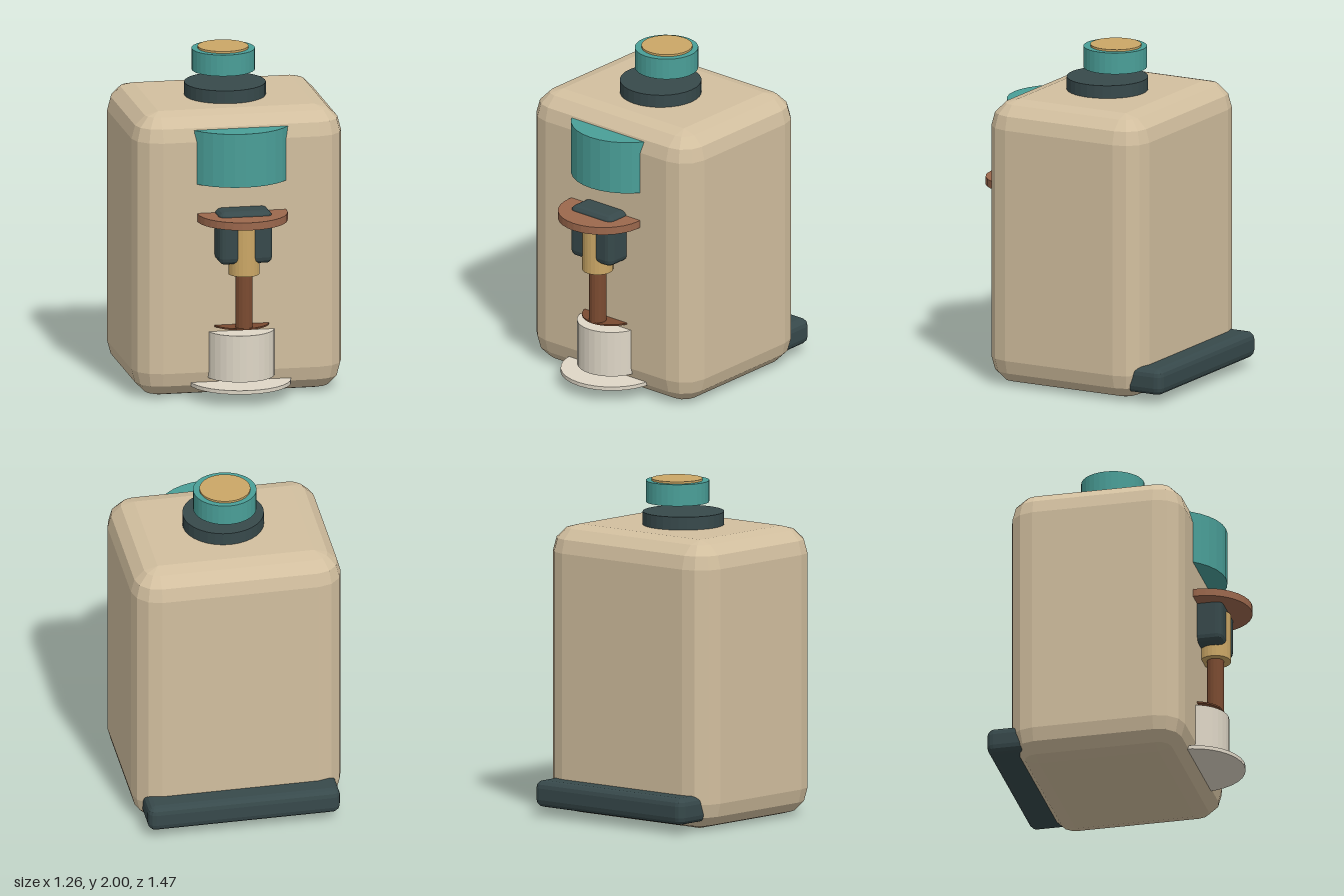
import * as THREE from 'three';
import { ConvexGeometry } from 'three/addons/geometries/ConvexGeometry.js';

const COLORS = {
  body: 0xd2bf9f, dark: 0x37494b, teal: 0x4a9f98, gold: 0xcba766,
  copper: 0x9c684d, brown: 0x7b4b31, cream: 0xdfd7c7,
};

// Box with every edge bevelled in equal angular steps.
function bevelledBox(w, h, d, r, steps) {
  const points = [];
  for (const sx of [-1, 1]) for (const sy of [-1, 1]) for (const sz of [-1, 1]) {
    for (let i = 0; i <= steps; i++) {
      const lat = (i / steps) * Math.PI / 2;
      // the pole needs only one point
      const turns = i === steps ? 0 : steps;
      for (let j = 0; j <= turns; j++) {
        const lon = (j / steps) * Math.PI / 2;
        points.push(new THREE.Vector3(
          sx * (w / 2 - r + r * Math.cos(lat) * Math.cos(lon)),
          sy * (h / 2 - r + r * Math.sin(lat)),
          sz * (d / 2 - r + r * Math.cos(lat) * Math.sin(lon))));
      }
    }
  }
  return new ConvexGeometry(points);
}

export function createModel() {
  const group = new THREE.Group();

  function add(name, geometry, color, y, z) {
    const material = new THREE.MeshStandardMaterial({ color: COLORS[color], flatShading: true });
    const mesh = new THREE.Mesh(geometry, material);
    mesh.name = name;
    mesh.position.set(0, y, z);
    group.add(mesh);
  }

  // Upright disc or cylinder between two heights
  function round(name, color, radius, y0, y1, z, sides = 32) {
    add(name, new THREE.CylinderGeometry(radius, radius, y1 - y0, sides), color, (y0 + y1) / 2, z);
  }

  // Housing and rear foot bar
  add('body', bevelledBox(1.256, 1.715, 1.045, 0.16, 3), 'body', 0.8625, -0.078);
  add('rearBar', bevelledBox(1.15, 0.158, 0.25, 0.045, 3), 'dark', 0.138, -0.61);

  // Stacked lid on top
  round('lidBase', 'dark', 0.24, 1.68, 1.797, -0.05);
  round('lidRing', 'teal', 0.187, 1.86, 1.988, -0.103);
  round('lidCap', 'gold', 0.15, 1.9, 2.0, -0.107);

  // Brewing head on the front
  round('brewHead', 'teal', 0.335, 1.305, 1.628, 0.245);
  round('filterPlate', 'copper', 0.267, 1.083, 1.129, 0.467);
  add('filterBlock', bevelledBox(0.324, 0.318, 0.324, 0.04, 3), 'dark', 0.998, 0.431);
  round('nozzle', 'gold', 0.092, 0.77, 1.067, 0.517, 24);
  round('pouringStream', 'brown', 0.052, 0.44, 0.79, 0.517, 16);

  // Cup on its saucer
  round('drinkSurface', 'brown', 0.171, 0.439, 0.448, 0.397);
  round('cup', 'cream', 0.205, 0.13, 0.41, 0.39);
  round('saucer', 'cream', 0.303, 0.08, 0.103, 0.388);

  return group;
}
